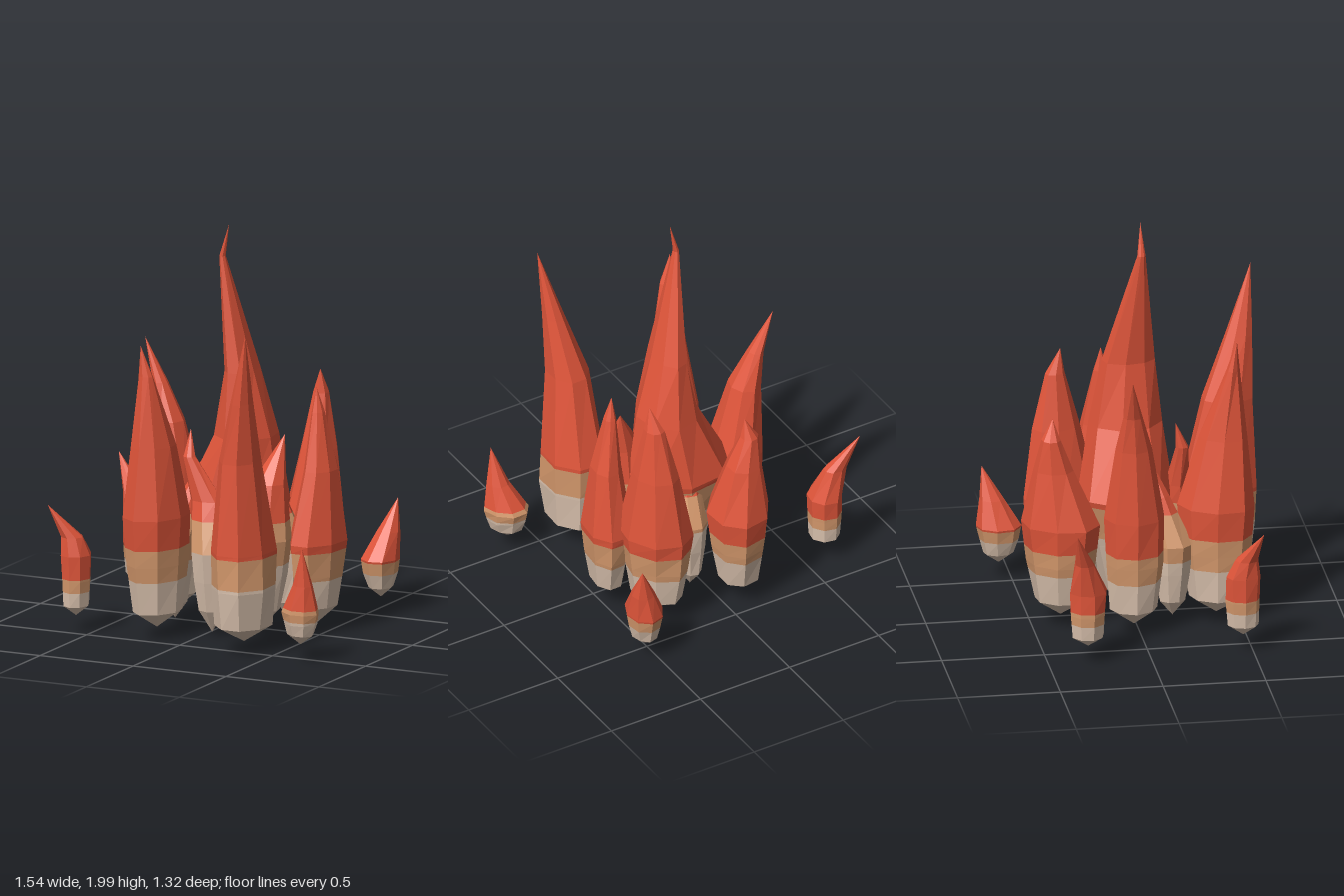
import * as THREE from 'three';

const mat = (name, color) => Object.assign(new THREE.MeshStandardMaterial({ color }), { name });
const SIDES = 8;

// Faceted flame: pointed root, foot ring, belly, then leaning upper rings [x, y, z, rx, rz] and a tip.
// bands = heights where pale turns tan and tan turns red; f = foot scale; turn = twist of the oval section.
function flame(name, mats, seed, { x, z, rx, rz, low = 0.05, foot = 0.13, belly, upper, tip, bands, f = 0.75, turn = 0 }) {
  let s = seed * 7919 + 13;
  const rand = () => ((s = (s * 16807) % 2147483647) / 2147483647);
  const phase = rand() * Math.PI;
  const [c, sn] = [Math.cos(turn), Math.sin(turn)];
  const point = (px, py, pz) => Array.from({ length: SIDES }, () => new THREE.Vector3(px, py, pz));
  const ring = ([cx, cy, cz, a, b]) => Array.from({ length: SIDES }, (_, i) => {
    const t = phase + (i / SIDES) * Math.PI * 2;
    const k = 0.97 + rand() * 0.1;
    const [u, v] = [Math.cos(t) * a * k, Math.sin(t) * b * k];
    return new THREE.Vector3(cx + c * u - sn * v, cy, cz + sn * u + c * v);
  });
  const mid = foot + (belly - foot) * 0.5;
  const m = ((f + 1) / 2) * 1.04;
  const rings = [
    point(x, low, z),
    ring([x, foot, z, rx * f, rz * f]),
    ring([x, mid, z, rx * m, rz * m]),
    ring([x, belly, z, rx, rz]),
    ...upper.map(ring),
    point(...tip),
  ];

  // Insert a ring at each colour change
  for (const y of bands) {
    const i = rings.findIndex((r) => r[0].y > y);
    const [lo, hi] = [rings[i - 1], rings[i]];
    const t = (y - lo[0].y) / (hi[0].y - lo[0].y);
    if (t > 0.001) rings.splice(i, 0, lo.map((p, j) => p.clone().lerp(hi[j], t)));
  }

  const pos = [];
  const geo = new THREE.BufferGeometry();
  for (let r = 0; r < rings.length - 1; r++) {
    const start = pos.length / 3;
    const [lo, hi] = [rings[r], rings[r + 1]];
    for (let i = 0; i < SIDES; i++) {
      const j = (i + 1) % SIDES;
      const tris = [];
      if (r > 0) tris.push(lo[i], hi[i], lo[j]);
      if (r < rings.length - 2) tris.push(hi[i], hi[j], lo[j]);
      tris.forEach((p) => pos.push(p.x, p.y, p.z));
    }
    const y = (lo[0].y + hi[0].y) / 2;
    geo.addGroup(start, pos.length / 3 - start, y < bands[0] ? 0 : y < bands[1] ? 1 : 2);
  }
  geo.setAttribute('position', new THREE.Float32BufferAttribute(pos, 3));
  geo.computeVertexNormals();
  const mesh = new THREE.Mesh(geo, mats);
  mesh.name = name;
  return mesh;
}

export function createModel() {
  const group = new THREE.Group();
  group.name = 'fire';
  const mats = [mat('paleCore', 0xd8c0ac), mat('tanBand', 0xd4986c), mat('redFlame', 0xe0553a)];

  const flames = {
    // Tall middle flame
    centreFlame: { x: 0.04, z: -0.02, rx: 0.26, rz: 0.23, low: 0, belly: 0.62, f: 0.5, bands: [0.42, 0.59],
      upper: [[0.1, 0.95, -0.015, 0.145, 0.17], [0.085, 1.27, 0, 0.075, 0.125], [0.005, 1.83, 0.05, 0.014, 0.02]],
      tip: [0.04, 1.99, 0.05] },
    // Large flames around it
    frontLeftFlame: { x: 0.333, z: 0.475, rx: 0.148, rz: 0.188, belly: 0.5, f: 0.87, bands: [0.33, 0.48],
      upper: [[0.335, 0.95, 0.52, 0.1, 0.125], [0.375, 1.25, 0.58, 0.05, 0.065]], tip: [0.425, 1.6, 0.645] },
    frontRightFlame: { x: -0.18, z: 0.385, rx: 0.13, rz: 0.178, belly: 0.6, turn: 0.35, bands: [0.29, 0.45],
      upper: [[-0.18, 0.95, 0.42, 0.09, 0.12], [-0.2, 1.3, 0.465, 0.042, 0.03]], tip: [-0.22, 1.45, 0.48] },
    rightFlame: { x: -0.28, z: -0.03, rx: 0.13, rz: 0.15, belly: 0.6, bands: [0.28, 0.42],
      upper: [[-0.33, 0.97, -0.04, 0.075, 0.09], [-0.38, 1.15, -0.05, 0.035, 0.045]], tip: [-0.47, 1.36, -0.065] },
    leftFlame: { x: 0.463, z: -0.06, rx: 0.112, rz: 0.178, belly: 0.45, f: 0.68, turn: 0.25, bands: [0.27, 0.41],
      upper: [[0.475, 0.8, -0.07, 0.072, 0.1], [0.455, 1.08, -0.08, 0.03, 0.035]], tip: [0.445, 1.2, -0.08] },
    backLeftFlame: { x: 0.325, z: -0.3, rx: 0.145, rz: 0.19, belly: 0.5, f: 0.68, turn: -0.5, bands: [0.28, 0.42],
      upper: [[0.34, 0.85, -0.315, 0.09, 0.12], [0.35, 1.12, -0.32, 0.04, 0.05]], tip: [0.36, 1.24, -0.29] },
    backRightFlame: { x: -0.1, z: -0.36, rx: 0.15, rz: 0.185, belly: 0.52, f: 0.68, turn: 0.5, bands: [0.28, 0.4],
      upper: [[-0.11, 0.8, -0.395, 0.085, 0.1], [-0.13, 0.96, -0.41, 0.045, 0.045]], tip: [-0.11, 1.06, -0.4] },
    // Inner flames hugging the middle
    innerFrontFlame: { x: 0.05, z: 0.25, rx: 0.11, rz: 0.105, low: 0.02, belly: 0.42, f: 0.6, bands: [0.42, 0.57],
      upper: [[0.01, 0.66, 0.225, 0.085, 0.055], [-0.08, 0.87, 0.235, 0.03, 0.03]], tip: [-0.09, 1.0, 0.2] },
    innerLeftFrontFlame: { x: 0.26, z: 0.13, rx: 0.14, rz: 0.13, belly: 0.48, f: 0.6, bands: [0.36, 0.57],
      upper: [[0.28, 0.75, 0.1, 0.085, 0.08]], tip: [0.33, 0.98, 0.03] },
    innerRightFlame: { x: -0.19, z: 0.17, rx: 0.09, rz: 0.1, belly: 0.42, f: 0.65, bands: [0.34, 0.57],
      upper: [[-0.13, 0.65, 0.11, 0.055, 0.055]], tip: [-0.08, 0.85, 0.06] },
    innerBackFlame: { x: 0.09, z: -0.22, rx: 0.08, rz: 0.095, belly: 0.42, f: 0.65, bands: [0.4, 0.57],
      upper: [[0.07, 0.65, -0.15, 0.055, 0.055]], tip: [0.07, 0.85, -0.1] },
    innerLeftFlame: { x: 0.29, z: -0.08, rx: 0.09, rz: 0.09, belly: 0.42, f: 0.65, bands: [0.38, 0.57],
      upper: [[0.23, 0.65, -0.05, 0.055, 0.055]], tip: [0.18, 0.85, -0.03] },
    // Small outlying flames
    sparkBackLeft: { x: 0.55, z: -0.56, rx: 0.09, rz: 0.11, low: 0.08, belly: 0.27, f: 0.65, bands: [0.2, 0.26],
      upper: [[0.575, 0.4, -0.59, 0.055, 0.06]], tip: [0.605, 0.56, -0.635] },
    sparkFrontLeft: { x: 0.665, z: 0.53, rx: 0.085, rz: 0.11, low: 0.08, belly: 0.24, f: 0.7, turn: -0.9, bands: [0.2, 0.26],
      upper: [[0.695, 0.38, 0.565, 0.045, 0.055]], tip: [0.71, 0.57, 0.605] },
    sparkBackRight: { x: -0.615, z: -0.305, rx: 0.085, rz: 0.09, low: 0.08, belly: 0.36, f: 0.85, bands: [0.2, 0.265],
      upper: [[-0.66, 0.52, -0.33, 0.06, 0.045]], tip: [-0.77, 0.7, -0.38] },
    sparkFrontRight: { x: -0.58, z: 0.455, rx: 0.07, rz: 0.085, low: 0.08, belly: 0.38, f: 0.85, bands: [0.2, 0.265],
      upper: [[-0.595, 0.47, 0.47, 0.055, 0.055]], tip: [-0.69, 0.63, 0.54] },
  };

  Object.entries(flames).forEach(([name, spec], i) => group.add(flame(name, mats, i + 1, spec)));
  return group;
}
